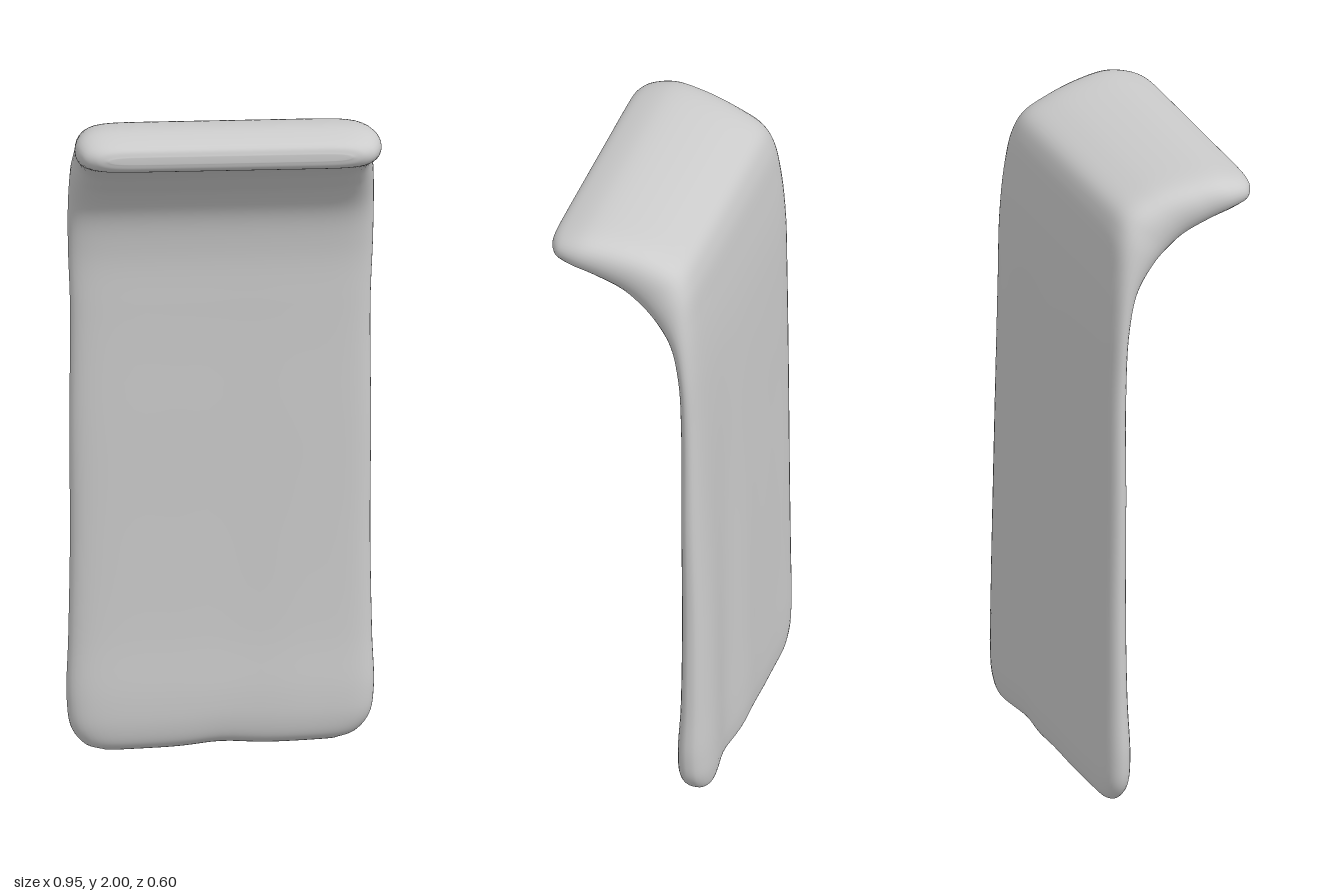
import * as THREE from 'three';

// Stations along the sheet, bottom hem to lip tip:
// [front depth, front height, back depth, back height, half width]
const STATIONS = [
  [-0.180, -0.004, -0.198, -0.004, 0.34],
  [-0.153, 0.018, -0.222, 0.018, 0.40],
  [-0.140, 0.07, -0.230, 0.07, 0.441],
  [-0.137, 0.16, -0.232, 0.16, 0.455],
  [-0.146, 0.35, -0.230, 0.35, 0.45],
  [-0.150, 0.65, -0.227, 0.65, 0.445],
  [-0.150, 1.0, -0.222, 1.0, 0.447],
  [-0.150, 1.35, -0.217, 1.37, 0.445],
  [-0.143, 1.54, -0.210, 1.58, 0.452],
  [-0.115, 1.66, -0.197, 1.74, 0.453],
  [-0.055, 1.74, -0.180, 1.855, 0.449],
  [0.0, 1.783, -0.150, 1.916, 0.442],
  [0.045, 1.815, -0.072, 1.958, 0.441],
  [0.12, 1.853, 0.04, 1.987, 0.45],
  [0.19, 1.879, 0.14, 1.995, 0.453],
  [0.232, 1.892, 0.215, 1.979, 0.434],
  [0.25, 1.904, 0.247, 1.963, 0.40],
  [0.257, 1.922, 0.257, 1.942, 0.36],
];
const ROWS = 120, AROUND = 72;
const PIVOT_Z = -0.19;

const bump = (x, centre, width) => Math.exp(-Math.pow((x - centre) / width, 2));

// Gentle ripples: uneven hem, soft folds on the back growing downwards
function ripple(p, side) {
  const low = 1 - THREE.MathUtils.smoothstep(p.y, 0.2, 1.7);
  const hem = 1 - THREE.MathUtils.smoothstep(p.y, 0.0, 0.35);
  const fold = 0.016 * bump(p.x, 0.37, 0.1) + 0.008 * bump(p.x, 0.03, 0.09)
    - 0.006 * bump(p.x, 0.19, 0.07) - 0.005 * bump(p.x, -0.3, 0.12);
  p.z -= low * fold * (side < 0 ? 1 : 0.2);
  p.y += hem * (0.014 + 0.033 * p.x + 0.01 * bump(p.x, 0, 0.09));
  return p;
}

function sheetGeometry() {
  const front = new THREE.CatmullRomCurve3(STATIONS.map(s => new THREE.Vector3(s[4], s[1], s[0])));
  const back = new THREE.CatmullRomCurve3(STATIONS.map(s => new THREE.Vector3(s[4], s[3], s[2])));
  const pos = [], index = [];
  for (let i = 0; i <= ROWS; i++) {
    const f = front.getPoint(i / ROWS), b = back.getPoint(i / ROWS);
    for (let j = 0; j < AROUND; j++) {
      // flat section with rounded side edges
      const a = (j / AROUND) * Math.PI * 2, u = Math.cos(a);
      const t = Math.sign(Math.sin(a)) * Math.sqrt(Math.max(0, 1 - Math.pow(u, 12)));
      const p = b.clone().lerp(f, 0.5 + 0.5 * t);
      p.x = u * f.x;
      ripple(p, t);
      pos.push(p.x, p.y, p.z - PIVOT_Z);
    }
  }
  for (let i = 0; i < ROWS; i++) {
    for (let j = 0; j < AROUND; j++) {
      const k = (j + 1) % AROUND;
      const a = i * AROUND + j, b = i * AROUND + k, c = a + AROUND, d = b + AROUND;
      index.push(a, c, b, b, c, d);
    }
  }
  // close the two thin end loops by bridging front to back
  for (const [row, flip] of [[0, false], [ROWS, true]]) {
    const o = row * AROUND;
    for (let j = 0; j < AROUND / 2; j++) {
      const a = o + j, b = o + j + 1;
      const c = o + (AROUND - j) % AROUND, d = o + AROUND - j - 1;
      if (flip) index.push(a, d, b, a, c, d);
      else index.push(a, b, d, a, d, c);
    }
  }
  const g = new THREE.BufferGeometry();
  g.setAttribute('position', new THREE.Float32BufferAttribute(pos, 3));
  g.setIndex(index);
  g.computeVertexNormals();
  return g;
}

export function createModel() {
  const model = new THREE.Group();
  model.name = 'drapedSheet';
  const material = new THREE.MeshStandardMaterial({ color: 0xcccccc, side: THREE.DoubleSide });
  const sheet = new THREE.Mesh(sheetGeometry(), material);
  sheet.name = 'foldedSheet';
  // the sheet stands slightly turned
  sheet.position.set(-0.025, 0, PIVOT_Z);
  sheet.rotation.y = 0.135;
  model.add(sheet);
  return model;
}
